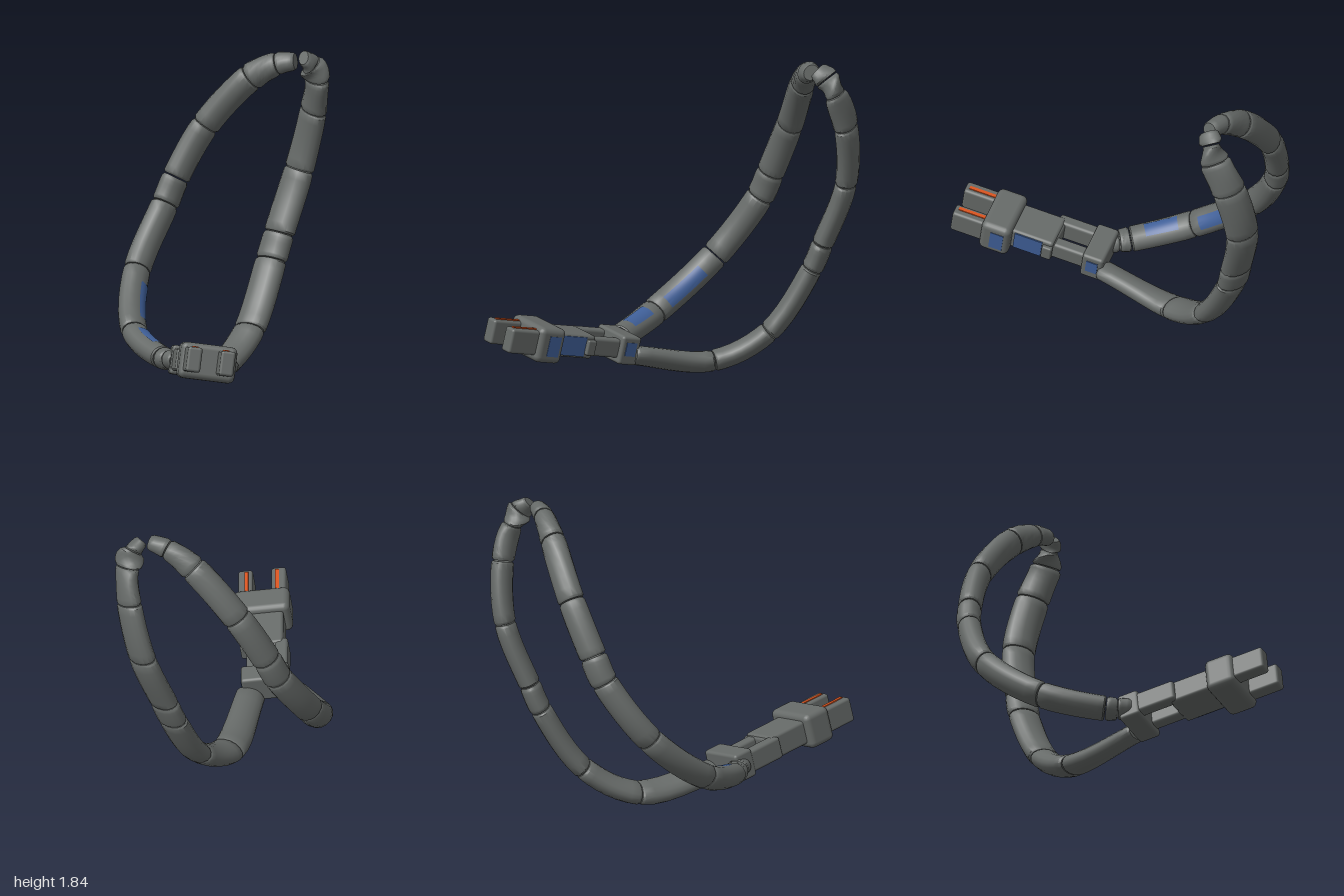
import * as THREE from 'three';
import { toCreasedNormals } from 'three/addons/utils/BufferGeometryUtils.js';
import { RoundedBoxGeometry } from 'three/addons/geometries/RoundedBoxGeometry.js';

const mat = (name, color, extra = {}) => {
  const m = new THREE.MeshStandardMaterial({ color, ...extra });
  m.name = name;
  return m;
};
const grey = mat('dark grey', 0x666a68);
const blue = mat('faded blue', 0x3f5f98);
const orange = mat('orange', 0xd9531e);

const V = (a) => new THREE.Vector3(...a);

// An arm: a curve through its joints, elliptical in section
function makeArm(joints, wide, thin, ref) {
  const curve = new THREE.CatmullRomCurve3(joints.map((j) => V(j)), false, 'centripetal');
  const n = joints.length - 1;
  const scaleAt = (u) => {
    const i = Math.min(Math.floor(u), n - 1);
    return THREE.MathUtils.lerp(joints[i][3] ?? 1, joints[i + 1][3] ?? 1, u - i);
  };
  const frame = (u) => {
    const p = curve.getPoint(u / n), t = curve.getTangent(u / n);
    const a = t.clone().cross(ref).normalize();
    return { p, t, a, b: t.clone().cross(a).normalize() };
  };
  return { n, curve, scaleAt, frame, wide, thin };
}

// Skin of an arm over a list of [u, radius factor] rings, for an angle range
function skin(arm, rings, a0, a1, sides) {
  const pos = [], idx = [];
  rings.forEach(([u, k], i) => {
    const { p, a, b } = arm.frame(u), s = arm.scaleAt(u) * k;
    for (let j = 0; j <= sides; j++) {
      const th = a0 + ((a1 - a0) * j) / sides;
      const q = p.clone().addScaledVector(a, Math.cos(th) * arm.wide * s)
        .addScaledVector(b, Math.sin(th) * arm.thin * s);
      pos.push(q.x, q.y, q.z);
      if (i && j) {
        const d = i * (sides + 1) + j, c = d - 1, f = d - sides - 1, e = f - 1;
        idx.push(e, f, c, f, d, c);
      }
    }
  });
  const g = new THREE.BufferGeometry();
  g.setAttribute('position', new THREE.Float32BufferAttribute(pos, 3));
  g.setIndex(idx);
  return toCreasedNormals(g, 0.65);
}

// Closed segments with chamfered ends and a narrow gap at every joint
function addSegments(group, arm) {
  for (let i = 0; i < arm.n; i++) {
    const len = arm.curve.getPoint(i / arm.n).distanceTo(arm.curve.getPoint((i + 1) / arm.n));
    const gap = 0.003 / len, cut = 0.016 / len;
    const rings = [[i + gap, 0], [i + gap, 0.9], [i + cut, 1]];
    for (let k = 1; k < 6; k++) rings.push([i + k / 6, 1]);
    rings.push([i + 1 - cut, 0.98], [i + 1 - gap, 0.88], [i + 1 - gap, 0]);
    const m = new THREE.Mesh(skin(arm, rings, 0, Math.PI * 2, 16), grey);
    m.name = `${group.name}Segment${i + 1}`;
    group.add(m);
  }
}

// Thin painted patch on the side of an arm that faces dir
function addPatch(group, arm, u0, u1, dir, half) {
  const { a, b } = arm.frame((u0 + u1) / 2), d = V(dir);
  const mid = Math.atan2(d.dot(b), d.dot(a));
  const rings = [];
  for (let k = 0; k <= 6; k++) rings.push([u0 + ((u1 - u0) * k) / 6, 1.04]);
  const m = new THREE.Mesh(skin(arm, rings, mid - half, mid + half, 8), blue);
  m.name = `${group.name}Patch`;
  group.add(m);
}

function addBox(group, name, size, at, material = grey, r = 0.018) {
  const g = r ? new RoundedBoxGeometry(...size, 2, r) : new THREE.BoxGeometry(...size);
  const m = new THREE.Mesh(g, material);
  m.name = name;
  m.position.set(...at);
  group.add(m);
  return m;
}

function buildHead() {
  const head = new THREE.Group();
  head.name = 'head';
  head.position.set(0.06, 0.185, 0.33);
  head.rotation.set(-0.165, 0.867, -0.14, 'YXZ');

  // Open frame at the rear
  addBox(head, 'rearBar', [0.28, 0.17, 0.13], [-0.015, 0, 0.04]);
  addBox(head, 'leftRail', [0.075, 0.11, 0.3], [0.06, 0, 0.18]);
  addBox(head, 'rightRail', [0.075, 0.13, 0.3], [-0.11, 0, 0.18]);
  addBox(head, 'frontBar', [0.22, 0.12, 0.06], [-0.01, 0, 0.31]);
  addBox(head, 'leftLug', [0.04, 0.09, 0.06], [0.115, 0, 0.32], grey, 0.01);
  addBox(head, 'rearPanel', [0.006, 0.08, 0.07], [0.127, 0.01, 0.04], blue, 0);

  // Palm with its painted side
  addBox(head, 'palm', [0.23, 0.14, 0.27], [-0.005, 0, 0.425]);
  addBox(head, 'palmPanel', [0.008, 0.115, 0.17], [0.112, 0, 0.44], blue, 0);

  // Knuckle block
  addBox(head, 'knuckle', [0.33, 0.21, 0.18], [0.005, 0, 0.63], grey, 0.035);
  addBox(head, 'knucklePanel', [0.008, 0.12, 0.08], [0.169, 0, 0.615], blue, 0);

  // Two prongs with bright strips on top
  for (const side of [1, -1]) {
    addBox(head, 'prong', [0.085, 0.145, 0.24], [side * 0.097 + 0.003, 0.005, 0.785], grey, 0.016);
    addBox(head, 'prongStrip', [0.022, 0.009, 0.18], [side * 0.09 + 0.003, 0.079, 0.79], orange, 0);
  }
  return head;
}

export function createModel() {
  const model = new THREE.Group();
  model.name = 'jointedLoop';

  // Broad arm running along the ground and up the back (x, y, z, scale)
  const rear = new THREE.Group();
  rear.name = 'rearArm';
  const rearArm = makeArm([
    [0.1, 0.14, 0.27, 0.85], [-0.18, 0.08, -0.14], [-0.27, 0.25, -0.45], [-0.33, 0.62, -0.69],
    [-0.33, 0.77, -0.755], [-0.31, 1.13, -0.9], [-0.22, 1.48, -0.925], [-0.15, 1.68, -0.88, 0.92],
    [-0.145, 1.77, -0.83, 0.8], [-0.15, 1.82, -0.77, 0.6],
  ], 0.1, 0.064, new THREE.Vector3(0.15, 0.75, 0.6));
  addSegments(rear, rearArm);

  // Slimmer arm sweeping out to the side
  const side = new THREE.Group();
  side.name = 'sideArm';
  const sideArm = makeArm([
    [0.02, 0.2, 0.44, 0.75], [-0.06, 0.2, 0.42, 0.85], [-0.13, 0.2, 0.41, 0.95], [-0.48, 0.3, 0.29],
    [-0.74, 0.6, 0], [-0.77, 0.95, -0.26], [-0.75, 1.1, -0.33], [-0.65, 1.4, -0.47],
    [-0.42, 1.69, -0.61], [-0.27, 1.78, -0.68, 0.85], [-0.17, 1.8, -0.73, 0.65],
  ], 0.084, 0.071, new THREE.Vector3(1, 0.6, 0));
  addSegments(side, sideArm);
  addPatch(side, sideArm, 2.3, 2.8, [0, 0.9, -0.35], 0.55);
  addPatch(side, sideArm, 3.15, 3.75, [0.95, 0.1, -0.3], 0.5);

  model.add(rear, side, buildHead());
  return model;
}
